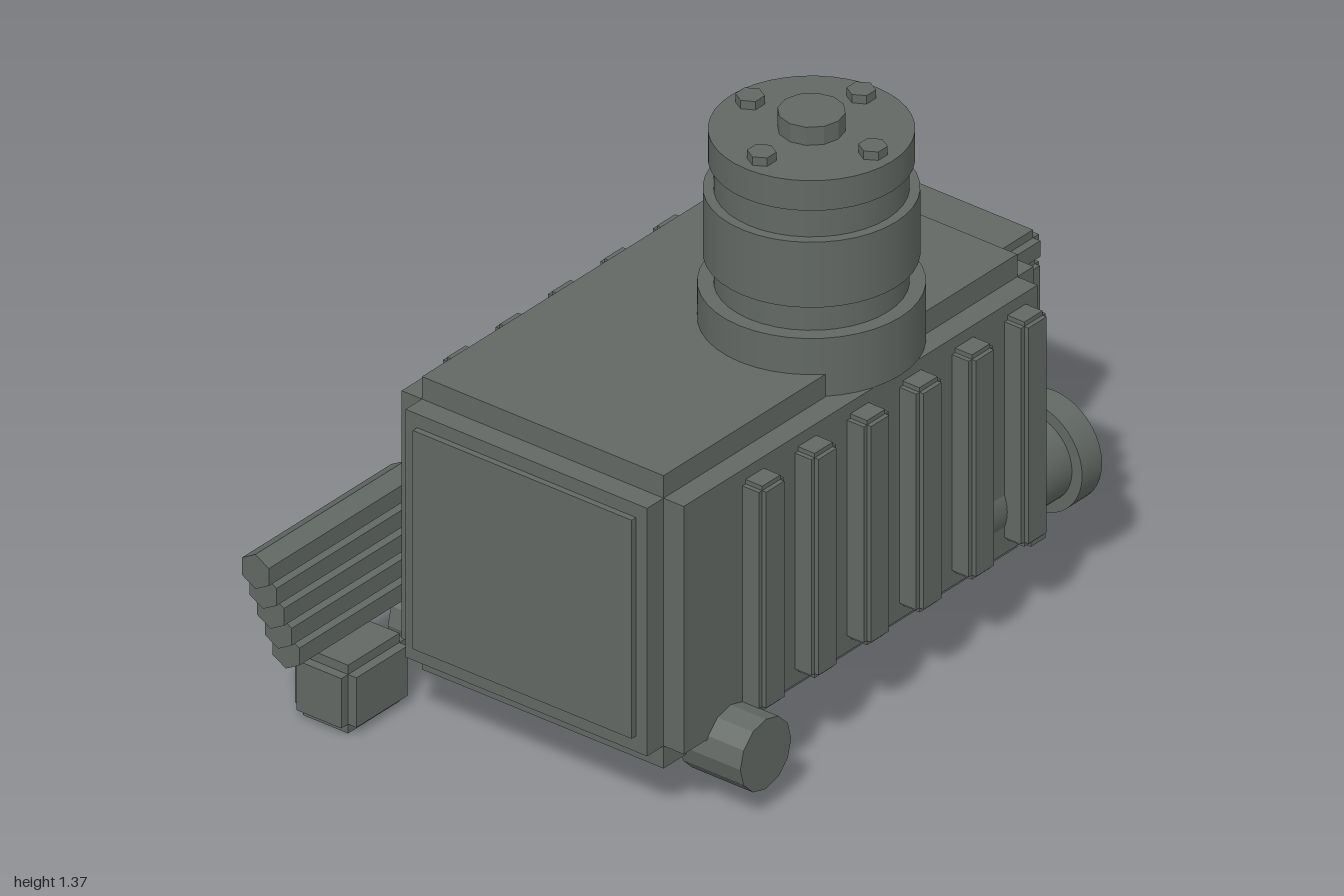
import * as THREE from 'three';

export function createModel() {
  const model = new THREE.Group();
  const smooth = new THREE.MeshStandardMaterial({ color: 0x626864 });
  const flat = new THREE.MeshStandardMaterial({ color: 0x626864, flatShading: true });

  function box(parent, name, x0, x1, y0, y1, z0, z1) {
    const m = new THREE.Mesh(new THREE.BoxGeometry(x1 - x0, y1 - y0, z1 - z0), flat);
    m.position.set((x0 + x1) / 2, (y0 + y1) / 2, (z0 + z1) / 2);
    m.name = name;
    parent.add(m);
  }

  // Block with stepped edges: three overlapping boxes, each full size along one axis
  function steppedBox(name, x0, x1, y0, y1, z0, z1, b) {
    const g = new THREE.Group();
    g.name = name;
    box(g, name + 'AcrossX', x0, x1, y0 + b, y1 - b, z0 + b, z1 - b);
    box(g, name + 'AcrossY', x0 + b, x1 - b, y0, y1, z0 + b, z1 - b);
    box(g, name + 'AcrossZ', x0 + b, x1 - b, y0 + b, y1 - b, z0, z1);
    model.add(g);
  }

  // Cylinder between a and b along an axis, centred at the other two coordinates of c
  function cyl(name, axis, c, r, a, b, sides = 40) {
    const m = new THREE.Mesh(new THREE.CylinderGeometry(r, r, b - a, sides), sides > 16 ? smooth : flat);
    m.position.set(...c);
    m.position[axis] = (a + b) / 2;
    if (axis === 'x') m.rotation.z = Math.PI / 2;
    if (axis === 'z') m.rotation.x = Math.PI / 2;
    m.name = name;
    model.add(m);
  }

  // Main housing
  steppedBox('housing', -0.353, 0.427, 0.125, 0.855, -0.65, 0.67, 0.056);
  box(model, 'frontPanel', -0.265, 0.34, 0.22, 0.765, 0.64, 0.685);
  box(model, 'rearSill', -0.353, 0.42, 0.15, 0.3, -0.63, -0.58);

  // Vertical cooling ribs on both sides
  for (let i = 0; i < 6; i++) {
    const z = 0.372 - i * 0.179;
    steppedBox('leftRib', 0.4, 0.484, 0.21, 0.77, z - 0.042, z + 0.042, 0.011);
    steppedBox('rightRib', -0.409, -0.325, 0.21, 0.77, z - 0.042, z + 0.042, 0.011);
  }

  // Tower on the lid
  const tower = [0.194, 0, -0.11];
  cyl('towerBase', 'y', tower, 0.246, 0.8, 0.945);
  cyl('towerCore', 'y', tower, 0.211, 0.9, 1.27);
  cyl('towerBand', 'y', tower, 0.234, 1.015, 1.178);
  cyl('towerCap', 'y', tower, 0.223, 1.25, 1.325);
  cyl('towerHub', 'y', tower, 0.074, 1.31, 1.37, 12);
  for (let i = 0; i < 4; i++) {
    const a = i * Math.PI / 2;
    cyl('capBolt', 'y', [0.194 + 0.17 * Math.cos(a), 0, -0.11 + 0.17 * Math.sin(a)], 0.032, 1.31, 1.346, 6);
  }

  // Front side stubs
  cyl('leftStub', 'x', [0, 0.145, 0.455], 0.087, 0.357, 0.525, 12);
  cyl('rightStub', 'x', [0, 0.145, 0.455], 0.087, -0.45, -0.283, 12);

  // Handle block and stacked hexagonal bars
  steppedBox('handleBlock', -0.53, -0.36, 0, 0.17, 0.562, 0.783, 0.023);
  for (let i = 0; i < 5; i++) {
    cyl('hexBar', 'z', [-0.445, 0.49 - i * 0.0615, 0], 0.043, 0.49, 1 - i * 0.026, 6);
  }

  // Rear outlet
  const outlet = [0.33, 0.287, 0];
  cyl('outletPipe', 'z', outlet, 0.105, -0.72, -0.38);
  cyl('outletFlange', 'z', outlet, 0.133, -0.77, -0.702);

  // Rear stepped drum
  const drum = [-0.13, 0.38, 0];
  cyl('drumNeck', 'z', drum, 0.173, -0.72, -0.6);
  cyl('drumBody', 'z', drum, 0.197, -0.83, -0.7);
  cyl('drumStep', 'z', drum, 0.175, -0.92, -0.82);
  cyl('drumEnd', 'z', drum, 0.15, -0.985, -0.91);

  // Hood over the drum: roof and two hanging side walls
  steppedBox('hoodRoof', -0.385, 0.122, 0.56, 0.64, -1, -0.66, 0.02);
  steppedBox('hoodLeftWall', 0.065, 0.115, 0.392, 0.565, -1, -0.645, 0.013);
  steppedBox('hoodRightWall', -0.378, -0.328, 0.392, 0.565, -1, -0.645, 0.013);

  return model;
}
